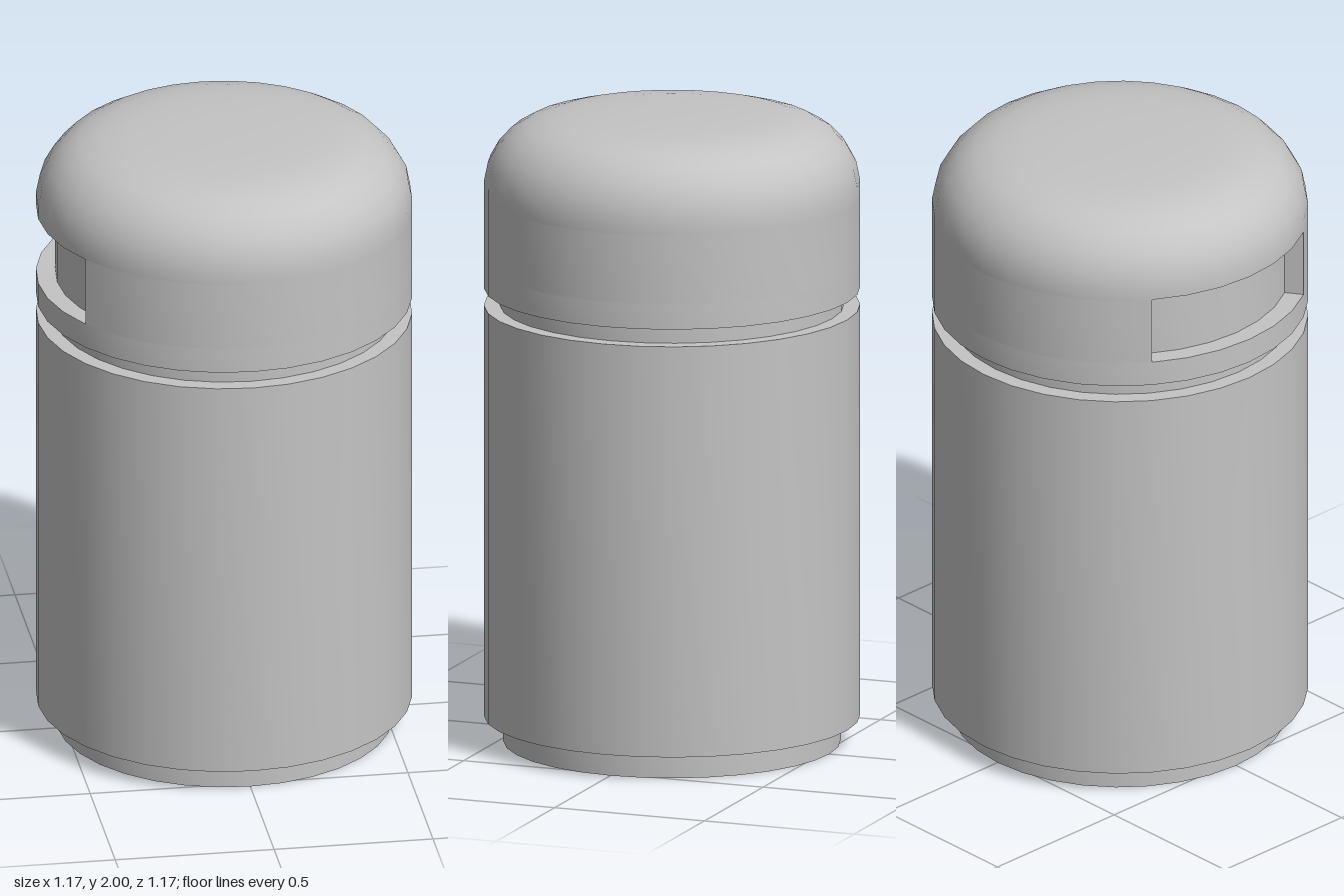
import * as THREE from 'three';
import { toCreasedNormals } from 'three/addons/utils/BufferGeometryUtils.js';

const SIDES = 32;
const STEP = (Math.PI * 2) / SIDES;
const R = 0.585;       // outer radius
const R_SLOT = 0.525;  // radius of the wall inside the slot
const SLOT_LOW = 1.525;
const SLOT_HIGH = 1.745;
const SLOT_HALF = 3 * STEP; // slot reaches three facets each side of -x

export function createModel() {
  const model = new THREE.Group();
  model.name = 'lidded canister';
  const grey = new THREE.MeshStandardMaterial({ color: 0xc4c4c4 });
  grey.name = 'grey';

  // Turned part from [radius, y] points listed bottom to top, outside facing out
  function turned(name, points, parent, start = 0, segments = SIDES) {
    const profile = points.map(([r, y]) => new THREE.Vector2(r, y));
    const lathe = new THREE.LatheGeometry(profile, segments, start, segments * STEP);
    const mesh = new THREE.Mesh(toCreasedNormals(lathe, 0.6), grey);
    mesh.name = name;
    parent.add(mesh);
    return mesh;
  }

  // Foot, body and neck
  turned('foot', [[0, 0], [0.525, 0], [0.525, 0.08]], model);
  turned('body', [[0.525, 0.08], [R, 0.08], [R, 1.39], [0.535, 1.39]], model);
  turned('neck', [[0.535, 1.39], [0.535, 1.445]], model);

  // Lid: lower rim, slotted band and dome
  const lid = new THREE.Group();
  lid.name = 'lid';
  model.add(lid);

  turned('lidRim', [[0.535, 1.445], [R, 1.445], [R, SLOT_LOW], [R_SLOT, SLOT_LOW]], lid);
  turned('slotWall', [[R_SLOT, SLOT_LOW], [R_SLOT, SLOT_HIGH]], lid);
  turned('lidBand', [[R, SLOT_LOW], [R, SLOT_HIGH]], lid, Math.PI * 1.5 + SLOT_HALF, SIDES - 6);
  turned('dome', [
    [R_SLOT, SLOT_HIGH], [R, SLOT_HIGH], [R, 1.785], [0.573, 1.845], [0.545, 1.895],
    [0.505, 1.938], [0.455, 1.967], [0.39, 1.985], [0.3, 1.995], [0.15, 1.999], [0, 2],
  ], lid);

  // End faces of the slot, facing each other
  for (const side of [-1, 1]) {
    const end = new THREE.Mesh(new THREE.PlaneGeometry(R - R_SLOT, SLOT_HIGH - SLOT_LOW), grey);
    end.name = 'slotEnd';
    end.position.set((R + R_SLOT) / 2, (SLOT_LOW + SLOT_HIGH) / 2, 0);
    if (side < 0) end.rotation.y = Math.PI;
    const pivot = new THREE.Group();
    pivot.name = 'slotEndPivot';
    pivot.rotation.y = Math.PI + side * SLOT_HALF;
    pivot.add(end);
    lid.add(pivot);
  }

  return model;
}
